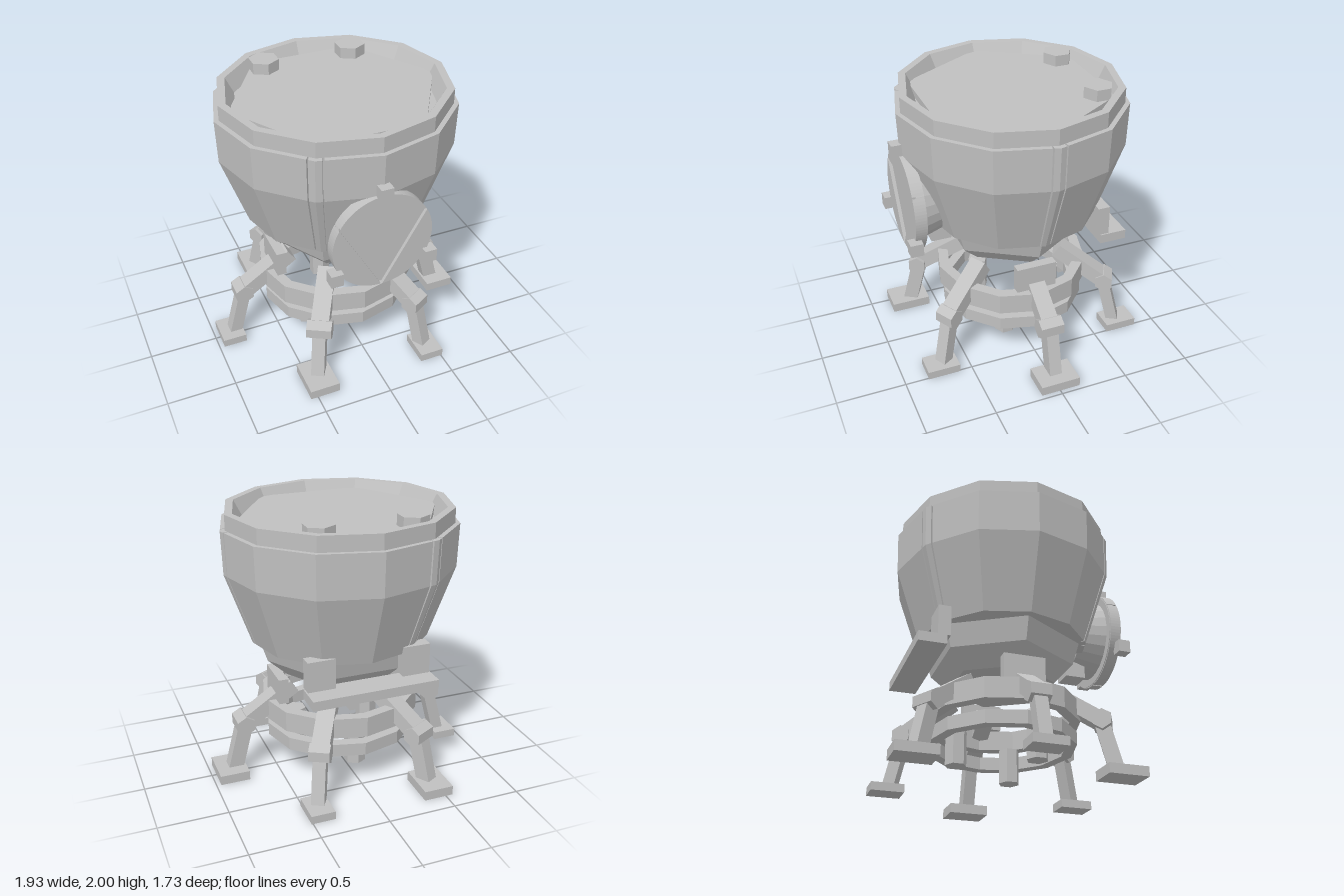
import * as THREE from 'three';

const grey = new THREE.MeshStandardMaterial({ color: 0xc0c0c0 });
grey.name = 'plain grey';
grey.flatShading = true;

function add(parent, name, geometry, x = 0, y = 0, z = 0) {
  const mesh = new THREE.Mesh(geometry, grey);
  mesh.name = name;
  mesh.position.set(x, y, z);
  parent.add(mesh);
  return mesh;
}

// Box given by its lower and upper limits
function slab(parent, name, [x0, x1], [y0, y1], [z0, z1]) {
  return add(parent, name, new THREE.BoxGeometry(x1 - x0, y1 - y0, z1 - z0),
    (x0 + x1) / 2, (y0 + y1) / 2, (z0 + z1) / 2);
}

// Turned solid from [radius, height] pairs, listed from the bottom up
function turned(parent, name, profile, sides) {
  const pts = profile.map(([r, y]) => new THREE.Vector2(r, y));
  return add(parent, name, new THREE.LatheGeometry(pts, sides, Math.PI / sides * (sides === 6 ? 1 : 0)));
}

// Straight bar between two points in the x-y plane
function bar(parent, name, a, b, thick, wide) {
  const dx = b[0] - a[0], dy = b[1] - a[1];
  const m = add(parent, name, new THREE.BoxGeometry(Math.hypot(dx, dy), thick, wide),
    (a[0] + b[0]) / 2, (a[1] + b[1]) / 2, 0);
  m.rotation.z = Math.atan2(dy, dx);
}

const HULL = [[0.655, 1.03], [0.84, 1.56], [0.85, 1.87]];

// Closed hull panel between two angles (degrees) on a twelve-sided outline
function panelGeometry(from, to) {
  const angles = [from];
  for (let a = Math.floor(from / 30) * 30 + 30; a < to; a += 30) angles.push(a);
  angles.push(to);
  const loop = [...angles.map(a => [a, 1]), ...angles.slice().reverse().map(a => [a, 0.9])];
  const n = loop.length, half = angles.length, pos = [], idx = [];
  for (const [r, y] of HULL) for (const [a, k] of loop) {
    const t = THREE.MathUtils.degToRad(a);
    const off = THREE.MathUtils.degToRad((((a % 30) + 30) % 30) - 15);
    const d = r * k * Math.cos(Math.PI / 12) / Math.cos(off);
    pos.push(d * Math.sin(t), y, d * Math.cos(t));
  }
  for (let j = 0; j < HULL.length - 1; j++) for (let i = 0; i < n; i++) {
    const a = j * n + i, b = j * n + (i + 1) % n;
    idx.push(a, b, b + n, a, b + n, a + n);
  }
  const top = (HULL.length - 1) * n;
  for (let i = 0; i < half - 1; i++) {
    const p = i, q = i + 1, r = n - 2 - i, s = n - 1 - i;
    idx.push(p, r, q, p, s, r);
    idx.push(top + p, top + q, top + r, top + p, top + r, top + s);
  }
  const g = new THREE.BufferGeometry();
  g.setAttribute('position', new THREE.Float32BufferAttribute(pos, 3));
  g.setIndex(idx);
  g.computeVertexNormals();
  return g;
}

function buildHull(parent) {
  turned(parent, 'hullCore', [[0, 1.03], ...HULL.map(([r, y]) => [r * 0.96, y]), [0, 1.87]], 12);
  // three wide panels separated by slits from three narrow ribs
  for (const a of [-30, 90, 210]) {
    add(parent, 'hullRib', panelGeometry(a - 3, a + 3));
    add(parent, 'hullPanel', panelGeometry(a + 3.8, a + 116.2));
  }
  turned(parent, 'lowerHull', [[0, 0.74], [0.41, 0.74], [0.55, 0.87], [0.605, 1.04], [0, 1.04]], 6);
  // top rim, lid and lid caps
  turned(parent, 'topRim', [[0.7, 1.87], [0.815, 1.87], [0.815, 1.98], [0.76, 1.98], [0.7, 1.87]], 12);
  turned(parent, 'lid', [[0, 1.86], [0.75, 1.86], [0.75, 1.92], [0, 1.92]], 6);
  for (const s of [-1, 1])
    add(parent, 'lidCap', new THREE.CylinderGeometry(0.11, 0.11, 0.1, 6), s * 0.33, 1.95, -0.525);
}

function buildUndercarriage(parent) {
  const ring = (name, inner, outer, y0, y1) =>
    turned(parent, name, [[inner, y0], [outer, y0], [outer, y1], [inner, y1], [inner, y0]], 12);
  ring('upperRing', 0.51, 0.59, 0.43, 0.58);
  ring('lowerRing', 0.48, 0.56, 0.265, 0.36);
  // thrusters
  for (let i = 0; i < 3; i++) {
    const a = Math.PI + i * Math.PI * 2 / 3;
    add(parent, 'thruster', new THREE.CylinderGeometry(0.08, 0.08, 0.25, 6),
      0.34 * Math.sin(a), 0.24, 0.34 * Math.cos(a));
  }
  // six legs, alternating large and small feet
  for (let i = 0; i < 6; i++) {
    const a = i * Math.PI / 3, big = i % 2 === 0;
    const leg = new THREE.Group();
    leg.name = 'leg';
    leg.rotation.y = a;
    parent.add(leg);
    bar(leg, 'upperLeg', [0.75, 0.41], [0.37, 0.66], 0.11, 0.13);
    bar(leg, 'lowerLeg', [0.745, 0.4], [0.835, 0.05], big ? 0.11 : 0.09, 0.095);
    const knee = add(leg, 'knee', new THREE.CylinderGeometry(0.074, 0.074, big ? 0.18 : 0.15, 6), 0.75, 0.41, 0);
    knee.rotation.x = Math.PI / 2;
    const h = big ? 0.07 : 0.06;
    add(parent, 'foot', new THREE.BoxGeometry(big ? 0.218 : 0.175, h, big ? 0.305 : 0.25),
      0.867 * Math.cos(a), h / 2, -0.867 * Math.sin(a));
  }
  // hip plates at both sides
  for (const s of [-1, 1])
    add(parent, 'hipPlate', new THREE.BoxGeometry(0.07, 0.19, 0.31), s * 0.48, 0.675, 0);
}

function buildHatch(parent) {
  const hatch = new THREE.Group();
  hatch.name = 'frontHatch';
  hatch.position.set(-0.01, 1.215, 0);
  parent.add(hatch);
  const back = add(hatch, 'hatchBack', new THREE.CylinderGeometry(0.35, 0.35, 0.06, 36), 0, 0, 0.755);
  back.rotation.x = Math.PI / 2;
  const neck = add(hatch, 'hatchNeck', new THREE.CylinderGeometry(0.3, 0.24, 0.2, 24), 0, 0, 0.64);
  neck.rotation.x = Math.PI / 2;
  // three door leaves with narrow gaps
  for (let i = 0; i < 3; i++) {
    const mid = Math.PI / 2 + i * Math.PI * 2 / 3;
    const leaf = new THREE.Shape();
    leaf.moveTo(0, 0);
    leaf.absarc(0, 0, 0.352, mid - Math.PI / 3, mid + Math.PI / 3, false);
    leaf.closePath();
    add(hatch, 'hatchLeaf', new THREE.ExtrudeGeometry(leaf, { depth: 0.08, bevelEnabled: false, curveSegments: 16 }),
      0.007 * Math.cos(mid), 0.007 * Math.sin(mid), 0.73);
  }
  // clips around the edge
  for (const [x, y] of [[-0.005, 0.395], [-0.342, -0.19], [0.338, -0.19]])
    add(hatch, 'hatchClip', new THREE.BoxGeometry(0.088, 0.092, 0.09), x, y, 0.815);
  slab(parent, 'hatchBracket', [-0.09, 0.07], [0.87, 1.04], [0.48, 0.63]);
}

export function createModel() {
  const model = new THREE.Group();
  model.name = 'landerCapsule';
  const frame = new THREE.Group();
  frame.name = 'frame';
  frame.position.set(-0.01, 0, -0.005);
  frame.scale.z = 0.953;
  model.add(frame);
  buildHull(frame);
  buildUndercarriage(frame);
  buildHatch(model);
  // rear shelf with two upright brackets
  slab(model, 'rearShelf', [-0.47, 0.45], [0.8, 0.87], [-0.73, -0.53]);
  for (const x of [-0.36, 0.34])
    slab(model, 'shelfBracket', [x - 0.1, x + 0.1], [0.87, 1.09], [-0.595, -0.505]);
  return model;
}
